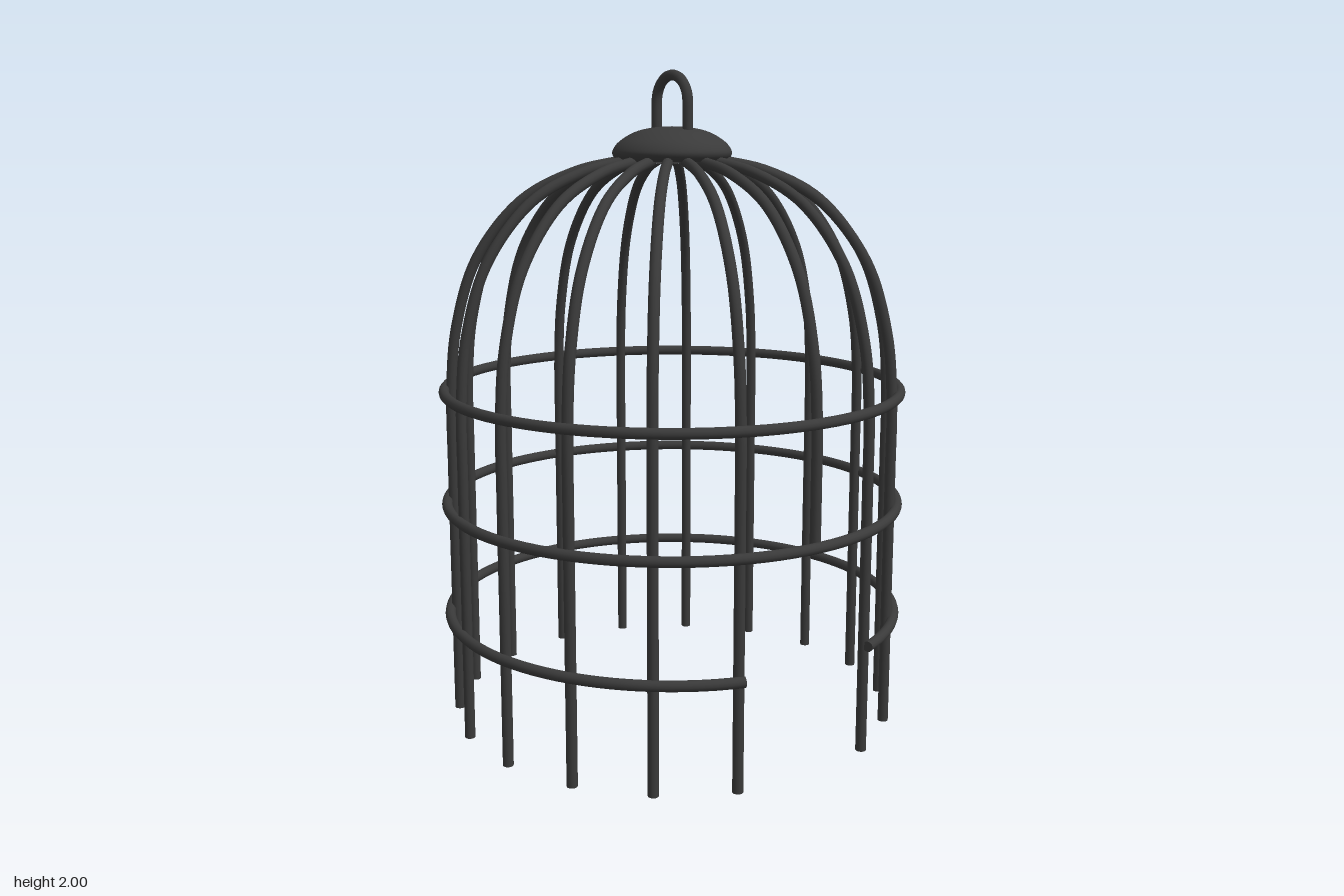
import * as THREE from 'three';

const V = (x, y, z = 0) => new THREE.Vector3(x, y, z);

export function createModel() {
  const model = new THREE.Group();
  const iron = new THREE.MeshStandardMaterial({ color: 0x3a3a3a });
  iron.name = 'dark iron';

  const add = (name, geometry, parent = model) => {
    const mesh = new THREE.Mesh(geometry, iron);
    mesh.name = name;
    parent.add(mesh);
    return mesh;
  };

  // Round rod along a curve, closed with a disc at each end
  const rod = (name, curve, radius, steps) => {
    const group = new THREE.Group();
    group.name = name;
    add(name + 'Rod', new THREE.TubeGeometry(curve, steps, radius, 12), group);
    for (const t of [0, 1]) {
      const end = add(name + 'End', new THREE.CircleGeometry(radius, 12), group);
      const out = curve.getTangent(t).multiplyScalar(t ? 1 : -1);
      end.quaternion.setFromUnitVectors(V(0, 0, 1), out);
      end.position.copy(curve.getPoint(t));
    }
    model.add(group);
    return group;
  };

  // Eighteen bars: straight below, bending inward to the crown; the one over the doorway is short
  const bars = 18, r = 0.016;
  for (let i = 0; i < bars; i++) {
    const foot = i === 0 ? [V(0.684, 0.69), V(0.684, 0.85)] : [V(0.684, 0), V(0.684, 0.45), V(0.684, 0.8)];
    const path = new THREE.CatmullRomCurve3([
      ...foot, V(0.682, 1.04), V(0.662, 1.23), V(0.595, 1.44), V(0.455, 1.615),
      V(0.29, 1.7), V(0.15, 1.732),
    ]);
    rod(i === 0 ? 'doorwayBar' : 'bar', path, r, 72).rotation.y = (i / bars) * Math.PI * 2;
  }

  // Two full hoops
  for (const y of [1.038, 0.686]) {
    const hoop = add('hoop', new THREE.TorusGeometry(0.704, r, 12, 96));
    hoop.rotation.x = Math.PI / 2;
    hoop.position.y = y;
  }

  // Lower hoop, open at the doorway on the left side
  const gap = THREE.MathUtils.degToRad(19);
  const arc = [];
  for (let i = 0; i <= 48; i++) {
    const a = gap + (i / 48) * (Math.PI * 2 - 2 * gap);
    arc.push(V(0.704 * Math.cos(a), 0.333, 0.704 * Math.sin(a)));
  }
  rod('openHoop', new THREE.CatmullRomCurve3(arc), r, 96);

  // Crown: shallow dome with a flat underside
  const profile = [new THREE.Vector2(0, 1.73), new THREE.Vector2(0.165, 1.73)];
  add('crownUnderside', new THREE.LatheGeometry(profile, 48));
  const dome = new THREE.SplineCurve([
    [0.165, 1.73], [0.179, 1.745], [0.18, 1.762], [0.16, 1.788], [0.115, 1.815], [0.06, 1.829], [0, 1.833],
  ].map(([x, y]) => new THREE.Vector2(x, y)));
  const domePoints = dome.getPoints(24);
  domePoints[24].x = 0;
  add('crownDome', new THREE.LatheGeometry(domePoints, 48));

  // Hanging loop: two legs joined by a half circle
  const loop = [V(-0.08, 1.78), V(-0.08, 1.84)];
  for (let i = 0; i <= 12; i++) {
    const a = Math.PI * (1 - i / 12);
    loop.push(V(0.08 * Math.cos(a), 1.904 + 0.08 * Math.sin(a)));
  }
  loop.push(V(0.08, 1.84), V(0.08, 1.78));
  rod('hangingLoop', new THREE.CatmullRomCurve3(loop), r, 48);

  return model;
}
